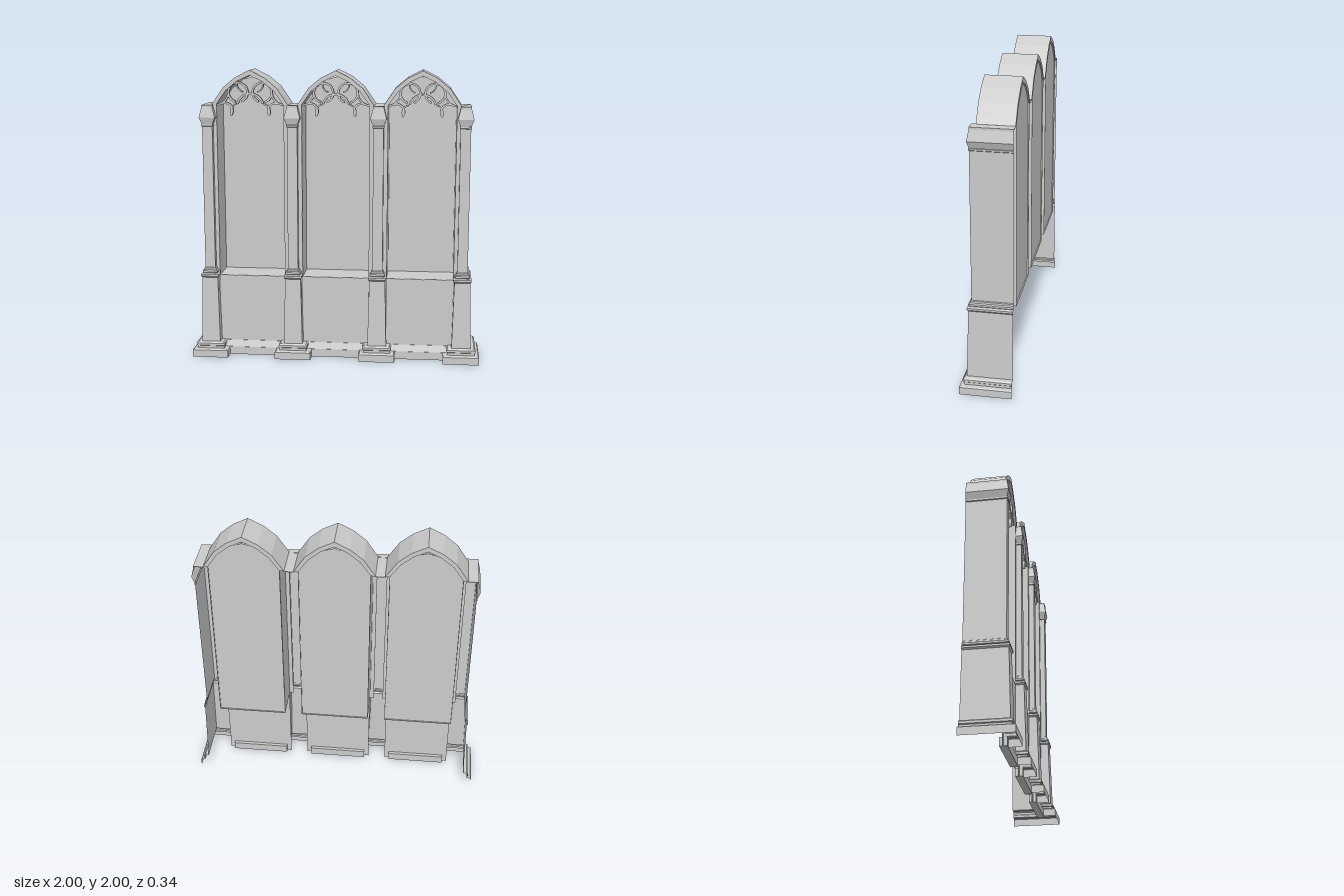
import * as THREE from 'three';

const mat = new THREE.MeshStandardMaterial({ color: 0xcccccc, flatShading: true, side: THREE.DoubleSide });
const BACK = -0.17, WALL = 0.06, ARCH = 0.07;
const BAY = 0.585, HALF = 0.232, SILL = 0.57, SPRING = 1.765;

function add(parent, name, geo, x = 0, y = 0, z = 0) {
  const m = new THREE.Mesh(geo, mat);
  m.name = name;
  m.position.set(x, y, z);
  parent.add(m);
  return m;
}

const box = (w, h, d) => new THREE.BoxGeometry(w, h, d);
const extrude = (shape, depth) => new THREE.ExtrudeGeometry(shape, { depth, bevelEnabled: false });

// Half profiles of the pointed arch, from springing to apex
const outerArch = [[0.262, SPRING], [0.185, 1.88], [0.1, 1.95], [0, 2]];
const innerArch = [[HALF, SPRING], [0.165, 1.86], [0.085, 1.925], [0, 1.965]];
const mirrored = half => [
  ...half, ...half.slice(0, -1).reverse().map(([x, y]) => [-x, y]),
].map(([x, y]) => new THREE.Vector2(x, y));

// Post levels: height, half width, front z
const postLevels = [
  [0, 0.125, 0.17], [0.05, 0.125, 0.17], [0.056, 0.118, 0.163], [0.058, 0.094, 0.142],
  [0.075, 0.094, 0.142], [0.08, 0.1, 0.15], [0.095, 0.1, 0.15], [0.104, 0.09, 0.14],
  [0.105, 0.065, 0.13], [0.565, 0.054, 0.117], [0.575, 0.062, 0.125], [0.588, 0.062, 0.125],
  [0.594, 0.045, 0.112], [0.6, 0.052, 0.117], [0.612, 0.052, 0.117], [0.618, 0.043, 0.108],
  [0.63, 0.042, 0.107], [0.634, 0.035, 0.1], [1.618, 0.035, 0.1], [1.622, 0.04, 0.105],
  [1.632, 0.04, 0.105], [1.634, 0.036, 0.1], [1.68, 0.055, 0.112], [1.75, 0.037, 0.1],
  [1.765, 0.037, 0.1],
];

// Hollow three-sided post; an end post carries its outer side to the back
function postGeometry(side) {
  const rings = postLevels.map(([y, h, f]) => [
    [-h, y, side < 0 ? BACK : WALL], [-h, y, f], [h, y, f], [h, y, side > 0 ? BACK : WALL],
  ]);
  const pos = [];
  const quad = (a, b, c, d) => pos.push(...a, ...b, ...c, ...a, ...c, ...d);
  for (let j = 0; j < rings.length - 1; j++)
    for (let i = 0; i < 3; i++)
      quad(rings[j][i], rings[j][i + 1], rings[j + 1][i + 1], rings[j + 1][i]);
  quad(...rings[rings.length - 1]);
  const g = new THREE.BufferGeometry();
  g.setAttribute('position', new THREE.Float32BufferAttribute(pos, 3));
  g.computeVertexNormals();
  return g;
}

// Flat curved rib: an arc band between two angles in degrees
function rib(r, a0, a1, width = 0.014) {
  const s = new THREE.Shape();
  const p = a0 * Math.PI / 180, q = a1 * Math.PI / 180;
  s.absarc(0, 0, r + width / 2, p, q, false);
  s.absarc(0, 0, r - width / 2, q, p, true);
  return new THREE.ExtrudeGeometry(s, { depth: 0.025, bevelEnabled: false, curveSegments: 14 });
}

function tracery() {
  const g = new THREE.Group();
  g.name = 'tracery';
  const z = 0.03;
  add(g, 'centreFoil', rib(0.09, 15, 165), 0, 1.75, z);
  for (const s of [1, -1]) {
    // angles are mirrored for the left and right halves
    const arc = (name, x, y, r, a0, a1, w) =>
      add(g, name, s > 0 ? rib(r, a0, a1, w) : rib(r, 180 - a1, 180 - a0, w), s * x, y, z);
    arc('upperFoil', 0.083, 1.848, 0.066, -75, 250);
    arc('upperCusp', 0.035, 1.905, 0.055, -75, 10, 0.009);
    arc('lowerFoil', 0.175, 1.725, 0.052, 60, 220);
    arc('lowerCusp', 0.085, 1.72, 0.05, -20, 80, 0.01);
    arc('sideBranch', 0.235, 1.85, 0.085, 180, 265, 0.012);
  }
  return g;
}

function bay() {
  const g = new THREE.Group();
  const depth = WALL - BACK, mid = (WALL + BACK) / 2;

  // Arched roof band
  const band = new THREE.Shape([...mirrored(outerArch), ...mirrored(innerArch).reverse()]);
  add(g, 'archRoof', extrude(band, ARCH - BACK), 0, 0, BACK);

  // Niche: arched back, side walls and sill
  const backHalf = [[HALF, SILL], ...innerArch.slice(0, -1), [0, 1.95]];
  add(g, 'nicheBack', new THREE.ShapeGeometry(new THREE.Shape(mirrored(backHalf))), 0, 0, BACK + 0.008);
  for (const s of [1, -1]) {
    add(g, 'nicheSide', box(0.004, SPRING - SILL, depth), s * HALF, (SPRING + SILL) / 2, mid);
    add(g, 'jamb', box(0.03, SPRING - SILL, 0.004), s * (HALF + 0.014), (SPRING + SILL) / 2, WALL);
  }
  add(g, 'sill', box(HALF * 2, 0.004, depth), 0, SILL, mid);

  // Lower panel with skirting
  add(g, 'lowerPanel', box(HALF * 2, SILL, 0.004), 0, SILL / 2, WALL);
  add(g, 'skirting', box(0.4, 0.055, 0.05), 0, 0.0275, 0.06);
  const slope = new THREE.Shape([[0, 0.055], [0.022, 0.055], [0.005, 0.1], [0, 0.1]]
    .map(([x, y]) => new THREE.Vector2(x, y)));
  const moulding = extrude(slope, 0.4);
  moulding.rotateY(-Math.PI / 2);
  add(g, 'skirtingMoulding', moulding, 0.2, 0, WALL);

  g.add(tracery());
  return g;
}

export function createModel() {
  const model = new THREE.Group();
  model.name = 'archedScreen';

  for (let i = -1; i <= 1; i++) {
    const b = bay();
    b.name = 'bay';
    b.position.x = i * BAY;
    model.add(b);
  }

  const posts = [[-0.875, -1], [-BAY / 2, 0], [BAY / 2, 0], [0.875, 1]];
  for (const [x, side] of posts) {
    add(model, 'post', postGeometry(side), x);
    // Flat gutter between neighbouring roofs
    add(model, 'gutter', box(0.068, 0.004, WALL - BACK), x, SPRING - 0.004, (WALL + BACK) / 2);
  }
  return model;
}
